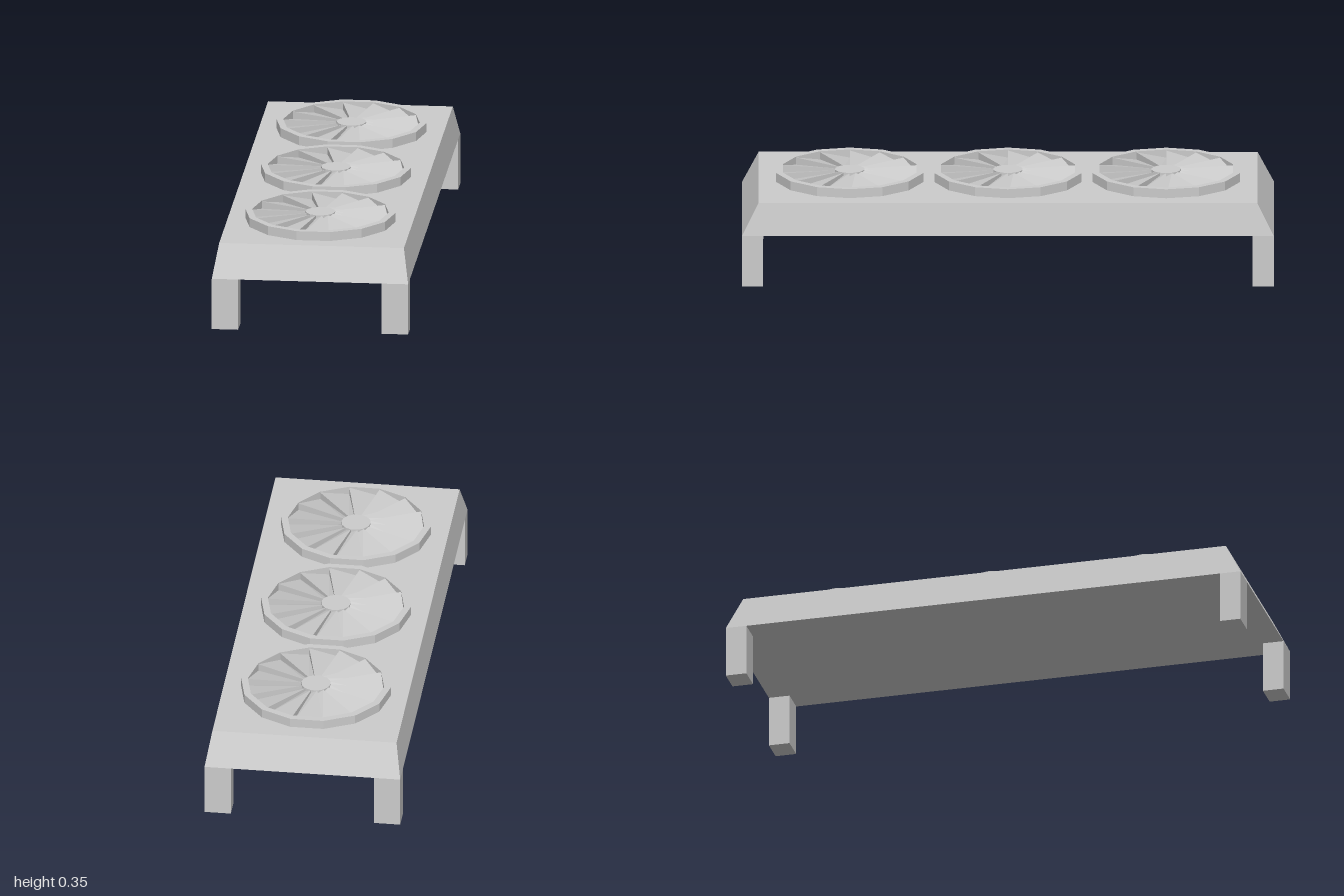
import * as THREE from 'three';

const SIDES = 14;
const BODY_BASE = 0.197, BODY_TOP = 0.32, RIM_TOP = 0.355;
const material = new THREE.MeshStandardMaterial({ color: 0xcccccc, flatShading: true });

function addMesh(parent, name, geometry, x = 0, y = 0, z = 0) {
  const mesh = new THREE.Mesh(geometry, material);
  mesh.name = name;
  mesh.position.set(x, y, z);
  parent.add(mesh);
  return mesh;
}

// Box whose upper corners are drawn inwards
function taperedBody() {
  const height = BODY_TOP - BODY_BASE;
  const geometry = new THREE.BoxGeometry(0.742, height, 2);
  const p = geometry.attributes.position;
  for (let i = 0; i < p.count; i++) {
    if (p.getY(i) > 0) p.setXYZ(i, Math.sign(p.getX(i)) * 0.349, height / 2, Math.sign(p.getZ(i)) * 0.938);
  }
  geometry.computeVertexNormals();
  return geometry;
}

// Ring of pitched blades, each falling to the foot of a step at the next one
function bladeRing() {
  const inner = 0.05, outer = 0.259, high = 0.031;
  const positions = [];
  const at = (r, a, y) => [r * Math.cos(a), y, r * Math.sin(a)];
  const quad = (a, b, c, d) => positions.push(...a, ...b, ...c, ...a, ...c, ...d);
  for (let i = 0; i < SIDES; i++) {
    const a0 = (i / SIDES) * Math.PI * 2, a1 = ((i + 1) / SIDES) * Math.PI * 2;
    const innerLow = high - 0.01, outerLow = high - 0.028;
    quad(at(inner, a0, high), at(inner, a1, innerLow), at(outer, a1, outerLow), at(outer, a0, high));
    quad(at(inner, a0, innerLow), at(inner, a0, high), at(outer, a0, high), at(outer, a0, outerLow));
  }
  const geometry = new THREE.BufferGeometry();
  geometry.setAttribute('position', new THREE.Float32BufferAttribute(positions, 3));
  geometry.computeVertexNormals();
  return geometry;
}

function createFan() {
  const fan = new THREE.Group();
  fan.name = 'fan';
  const h = RIM_TOP - BODY_TOP;
  // Faceted rim, a corner pointing along x
  const profile = [[0.284, 0], [0.284, h], [0.258, h], [0.258, 0]].map(([r, y]) => new THREE.Vector2(r, y));
  addMesh(fan, 'fanRim', new THREE.LatheGeometry(profile, SIDES, Math.PI / 2));
  addMesh(fan, 'fanBlades', bladeRing());
  addMesh(fan, 'fanHub', new THREE.CylinderGeometry(0.056, 0.056, 0.033, SIDES, 1, false, Math.PI / 2), 0, 0.0165, 0);
  return fan;
}

export function createModel() {
  const model = new THREE.Group();
  model.name = 'tripleFanUnit';

  addMesh(model, 'body', taperedBody(), 0, (BODY_BASE + BODY_TOP) / 2, 0);

  // Corner legs
  for (const sx of [-1, 1]) {
    for (const sz of [-1, 1]) {
      addMesh(model, `${sz > 0 ? 'front' : 'back'}${sx > 0 ? 'Left' : 'Right'}Leg`,
        new THREE.BoxGeometry(0.1, BODY_BASE, 0.08), sx * 0.321, BODY_BASE / 2, sz * 0.96);
    }
  }

  // Row of three fans
  for (const z of [-0.595, 0, 0.595]) {
    const fan = createFan();
    fan.position.set(0, BODY_TOP, z);
    model.add(fan);
  }
  return model;
}
